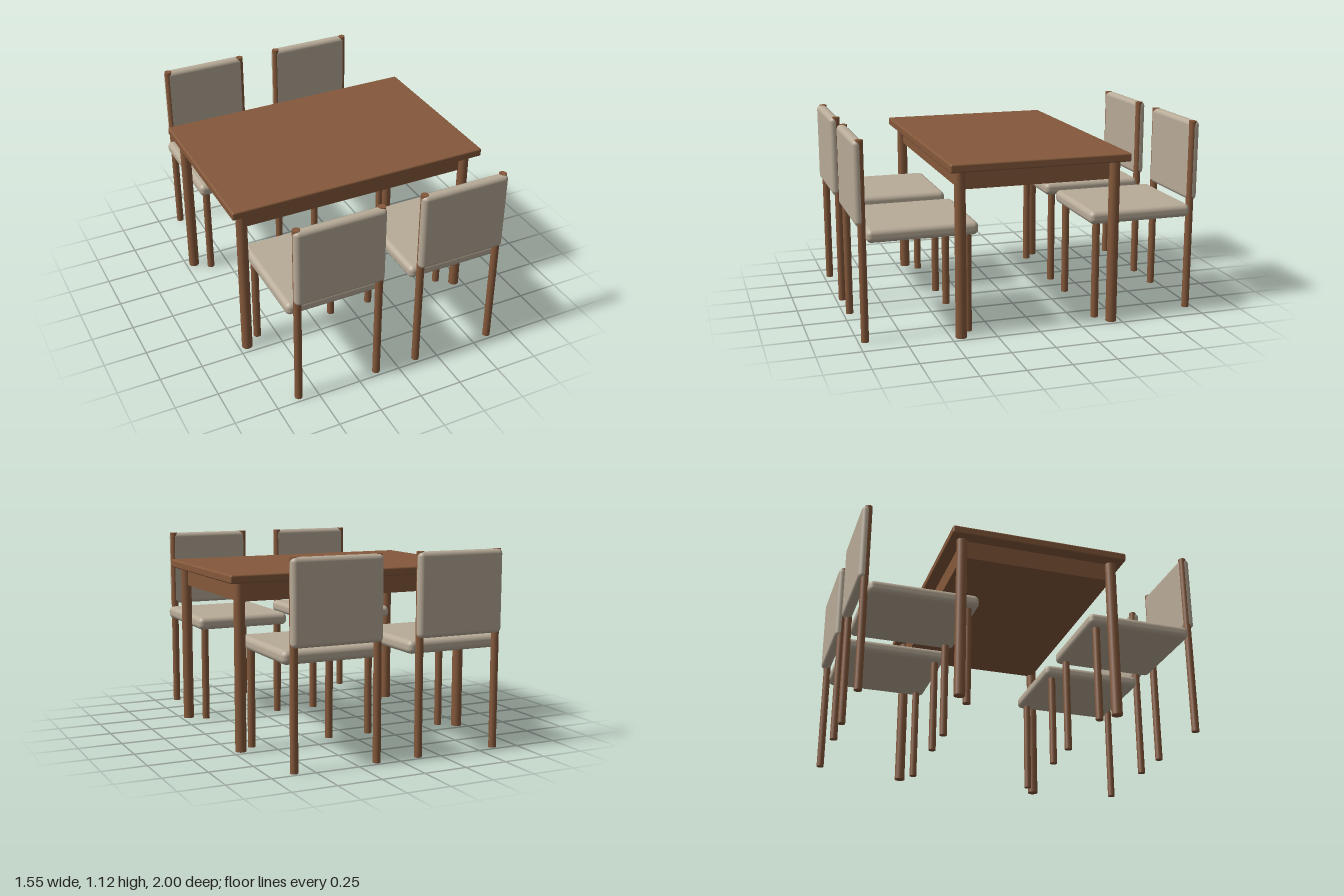
import * as THREE from 'three';
import { RoundedBoxGeometry } from 'three/addons/geometries/RoundedBoxGeometry.js';

const wood = new THREE.MeshStandardMaterial({ color: 0x85593b });
const fabric = new THREE.MeshStandardMaterial({ color: 0xb8ab98 });

function add(parent, name, geometry, material, x, y, z) {
  const mesh = new THREE.Mesh(geometry, material);
  mesh.name = name;
  mesh.position.set(x, y, z);
  parent.add(mesh);
}

// Upright round post standing on the floor
function addPost(parent, name, radius, height, x, z) {
  add(parent, name, new THREE.CylinderGeometry(radius, radius, height, 16), wood, x, height / 2, z);
}

function createTable() {
  const table = new THREE.Group();
  table.name = 'table';
  add(table, 'tableTop', new RoundedBoxGeometry(1.55, 0.048, 1.03, 3, 0.01), wood, 0, 0.964, 0);
  add(table, 'apron', new THREE.BoxGeometry(1.4, 0.106, 0.89), wood, 0, 0.887, 0);
  for (const x of [-0.7, 0.7])
    for (const z of [-0.445, 0.445]) addPost(table, 'tableLeg', 0.031, 0.942, x, z);
  return table;
}

// Chair whose back is on its +z side, placed along z from the table centre
function createChair() {
  const chair = new THREE.Group();
  chair.name = 'chair';
  add(chair, 'seat', new RoundedBoxGeometry(0.584, 0.075, 0.62, 3, 0.03), fabric, 0, 0.6, 0.635);
  add(chair, 'backrest', new RoundedBoxGeometry(0.525, 0.463, 0.06, 3, 0.026), fabric, 0, 0.885, 0.97);
  for (const x of [-0.241, 0.241]) {
    addPost(chair, 'backPost', 0.0217, 1.117, x, 0.962);
    addPost(chair, 'frontLeg', 0.0217, 0.58, x, 0.38);
  }
  return chair;
}

export function createModel() {
  const model = new THREE.Group();
  model.name = 'diningSet';
  model.add(createTable());
  // Two chairs on each long side, backs outward
  for (const x of [-0.368, 0.368])
    for (const turn of [0, Math.PI]) {
      const chair = createChair();
      chair.position.x = x;
      chair.rotation.y = turn;
      model.add(chair);
    }
  return model;
}
